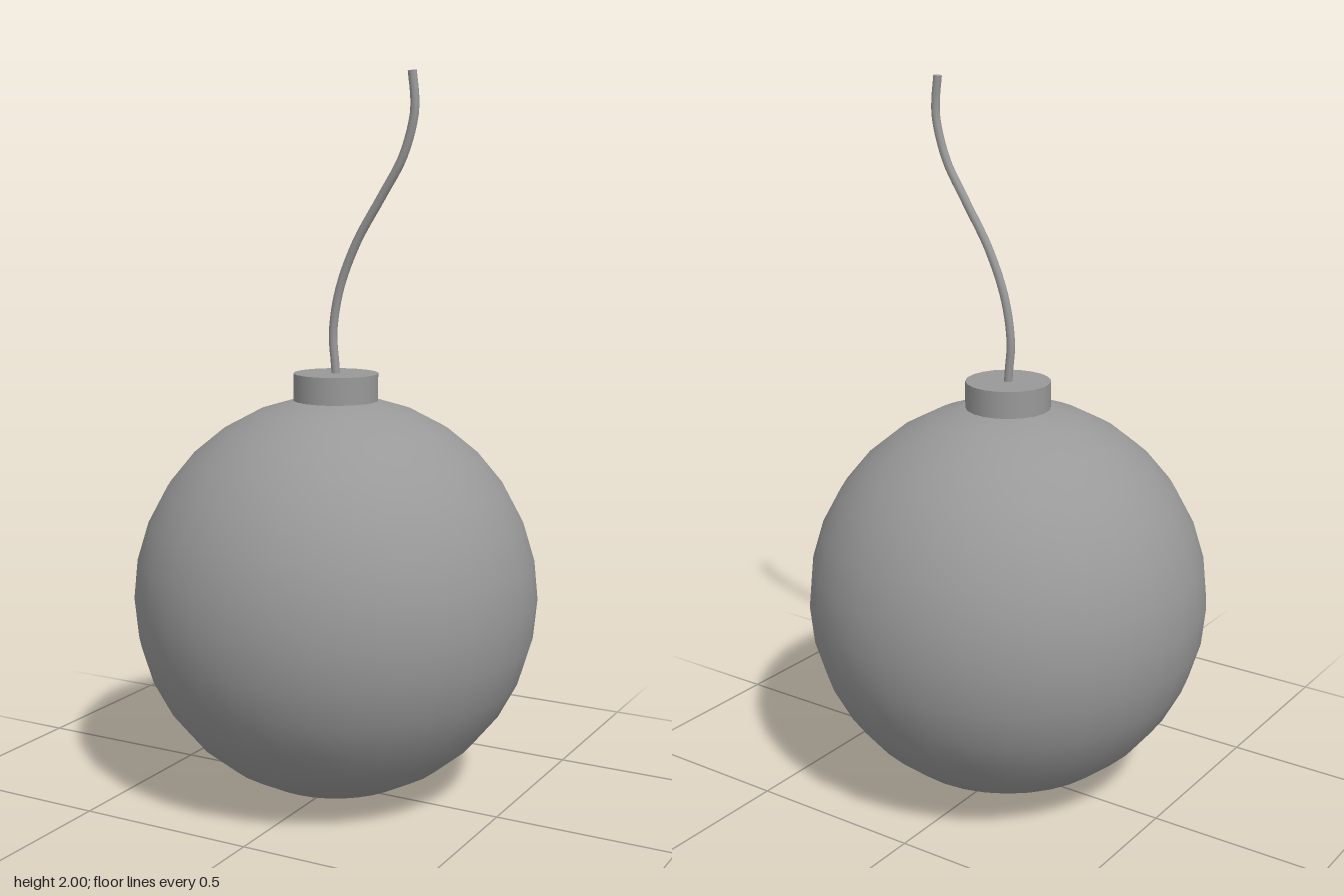
import * as THREE from 'three';

export function createModel() {
  const model = new THREE.Group();
  const material = new THREE.MeshStandardMaterial({ color: 0x999999 });
  const add = (name, geometry, x, y, z = 0) => {
    const mesh = new THREE.Mesh(geometry, material);
    mesh.name = name;
    mesh.position.set(x, y, z);
    model.add(mesh);
    return mesh;
  };

  // Round body
  add('body', new THREE.SphereGeometry(0.564, 32, 16), 0, 0.564);

  // Short collar on top, sunk into the body
  add('collar', new THREE.CylinderGeometry(0.118, 0.118, 0.12, 20), 0, 1.13);

  // S-shaped fuse
  const radius = 0.012;
  const fuseZ = -0.002;
  const path = new THREE.CatmullRomCurve3([
    [0.001, 1.16], [-0.004, 1.22], [-0.01, 1.3], [0.01, 1.42], [0.062, 1.548],
    [0.137, 1.67], [0.2, 1.775], [0.232, 1.88], [0.234, 1.93], [0.226, 1.998],
  ].map(([x, y]) => new THREE.Vector3(x, y, 0)));
  add('fuse', new THREE.TubeGeometry(path, 40, radius, 10), 0, 0, fuseZ);

  // Disc closing the fuse tip
  const tip = path.getPoint(1);
  const cap = add('fuseTip', new THREE.CircleGeometry(radius, 10), tip.x, tip.y, fuseZ);
  cap.quaternion.setFromUnitVectors(new THREE.Vector3(0, 0, 1), path.getTangent(1));

  return model;
}
